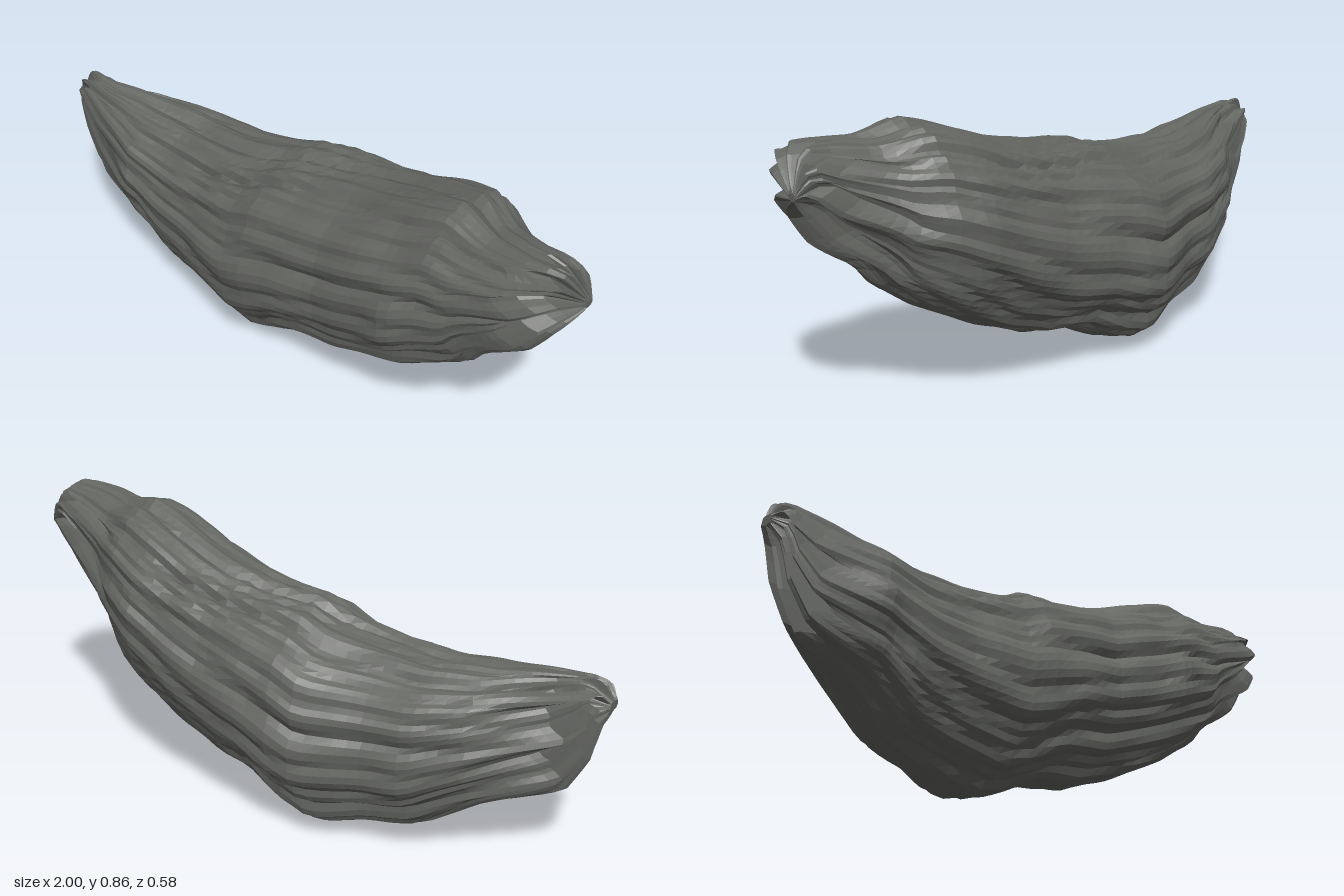
import * as THREE from 'three';

// Outline stations along the length: x, bottom y, top y, back z, front z
const stations = [
  [-1, 0.54, 0.57, 0.10, 0.15], [-0.95, 0.48, 0.62, 0.07, 0.18], [-0.92, 0.37, 0.63, 0.06, 0.185],
  [-0.85, 0.25, 0.625, 0.04, 0.20], [-0.75, 0.21, 0.62, -0.05, 0.23], [-0.65, 0.17, 0.61, -0.13, 0.26],
  [-0.5, 0.07, 0.605, -0.19, 0.255], [-0.35, 0.035, 0.615, -0.22, 0.265], [-0.18, 0, 0.64, -0.295, 0.29],
  [-0.08, 0.03, 0.685, -0.295, 0.29], [0.05, 0.1, 0.70, -0.285, 0.28], [0.2, 0.125, 0.73, -0.265, 0.265],
  [0.35, 0.18, 0.78, -0.255, 0.27], [0.5, 0.25, 0.84, -0.24, 0.28], [0.6, 0.31, 0.865, -0.2, 0.25],
  [0.68, 0.37, 0.845, -0.145, 0.235], [0.73, 0.45, 0.835, -0.11, 0.225], [0.85, 0.55, 0.85, -0.06, 0.21],
  [0.92, 0.64, 0.855, -0.045, 0.18], [0.96, 0.68, 0.83, -0.03, 0.12], [1, 0.715, 0.74, -0.01, 0.02],
];

function outline(x) {
  let i = 0;
  while (i < stations.length - 2 && x > stations[i + 1][0]) i++;
  const a = stations[i], b = stations[i + 1];
  const f = (x - a[0]) / (b[0] - a[0]);
  return a.map((v, k) => v + (b[k] - v) * f);
}

const bump = (v, centre, width) => Math.exp(-(((v - centre) / width) ** 2));

// Layered grooves that run lengthwise and drift slowly around the rock
function groove(x, t) {
  const w = t + 0.10 * Math.sin(3.1 * x + 2 * t) + 0.05 * Math.sin(8 * x + t * 3);
  const broad = Math.abs(Math.sin(4.5 * w + 0.4 * Math.sin(2 * w + x)));
  const fine = Math.abs(Math.sin(11 * w + 0.7 * Math.sin(5 * x)));
  const chips = 0.5 + 0.5 * Math.sin(23 * x + 5 * t) * Math.sin(9 * x - 3 * t);
  return 0.075 * (1 - broad) ** 1.5 + 0.055 * (1 - fine) + 0.025 * chips;
}

function rockGeometry(along = 64, around = 88) {
  const pos = [], index = [];
  for (let i = 0; i <= along; i++) {
    // Stations crowd together towards the ragged ends
    const x = -Math.cos((i / along) * Math.PI) * 0.6 + (i / along * 2 - 1) * 0.4;
    const [, bottom, top, back, front] = outline(x);
    const cy = bottom + (top - bottom) * 0.52, cz = (back + front) / 2;
    const end = Math.max(0, (Math.abs(x) - 0.62) / 0.38);
    for (let j = 0; j < around; j++) {
      const t = (j / around) * Math.PI * 2;
      const c = Math.cos(t), s = Math.sin(t);
      let r = 1.02 - groove(x, t);
      // Broken pocket on the upper front near the high end
      r -= 0.13 * bump(x, 0.5, 0.09) * bump(t, 0.95, 0.35);
      r -= 0.07 * bump(x, -0.62, 0.05) * bump(t, 2, 0.6);
      const y = cy + r * Math.sign(c) * Math.abs(c) ** 0.92 * (c > 0 ? top - cy : cy - bottom);
      const z = cz + r * Math.sign(s) * Math.abs(s) ** 0.92 * (front - back) / 2;
      const jag = 0.05 * end * (1 - end ** 4) * (Math.sin(9 * t) + 0.6 * Math.sin(17 * t + 1));
      pos.push(THREE.MathUtils.clamp(x + jag, -1, 1), y, z);
    }
  }
  for (let i = 0; i < along; i++) {
    for (let j = 0; j < around; j++) {
      const k = (j + 1) % around;
      const a = i * around + j, b = i * around + k;
      index.push(a, b, a + around, b, b + around, a + around);
    }
  }
  // Close the two narrow tips
  for (const [row, flip] of [[0, true], [along, false]]) {
    const [x, bottom, top, back, front] = outline(row ? 1 : -1);
    const centre = pos.length / 3;
    pos.push(x, (bottom + top) / 2, (back + front) / 2);
    for (let j = 0; j < around; j++) {
      const a = row * around + j, b = row * around + (j + 1) % around;
      index.push(centre, ...(flip ? [b, a] : [a, b]));
    }
  }
  const g = new THREE.BufferGeometry();
  g.setAttribute('position', new THREE.Float32BufferAttribute(pos, 3));
  g.setIndex(index);
  g.computeBoundingBox();
  g.translate(0, -g.boundingBox.min.y, 0);
  g.computeVertexNormals();
  return g;
}

export function createModel() {
  const stone = new THREE.MeshStandardMaterial({ color: 0x646662, flatShading: true });
  stone.name = 'darkGreyStone';
  const rock = new THREE.Mesh(rockGeometry(), stone);
  rock.name = 'layeredRock';
  const group = new THREE.Group();
  group.name = 'rock';
  group.add(rock);
  return group;
}
